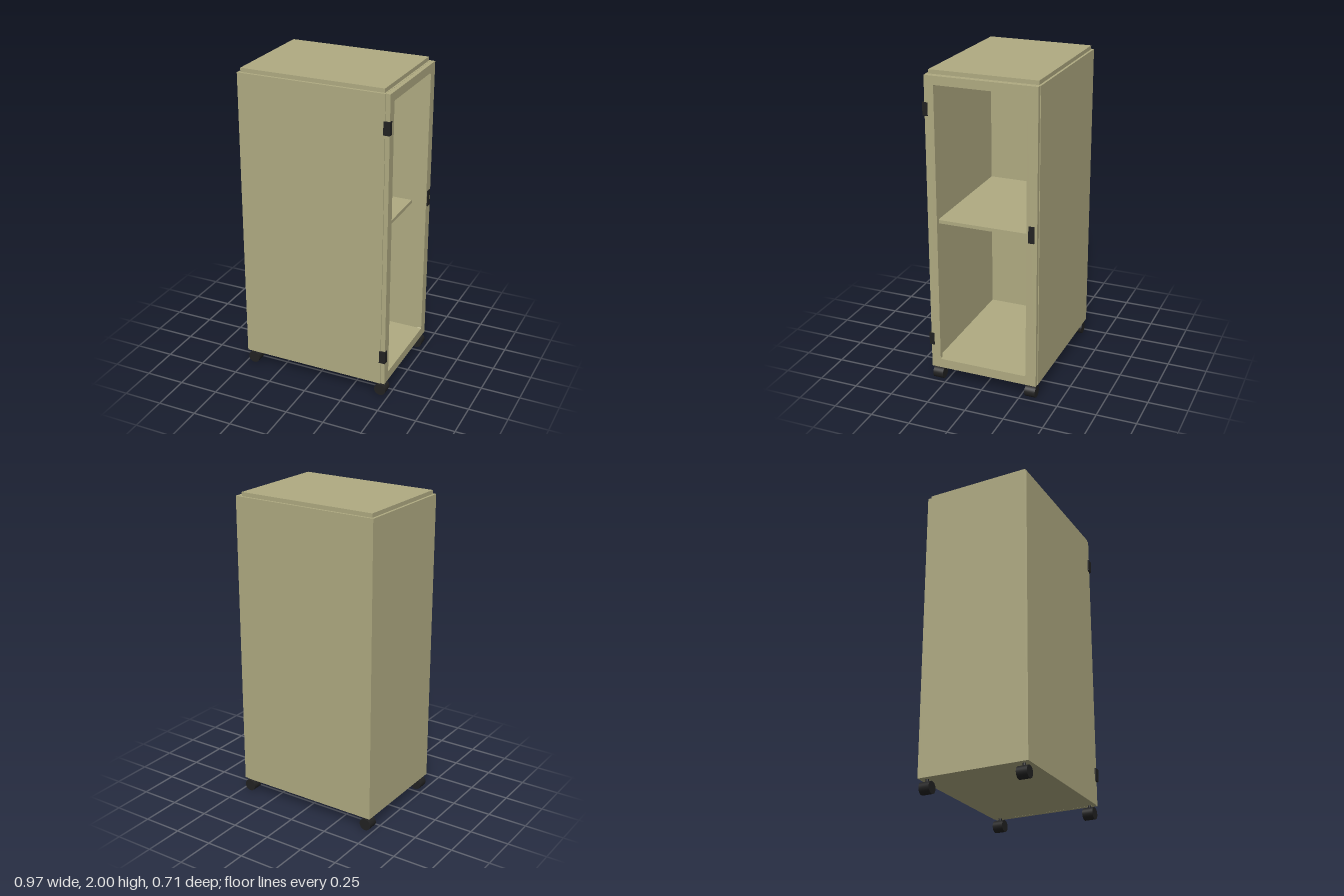
import * as THREE from 'three';

const beige = new THREE.MeshStandardMaterial({ color: 0xb0ab82 });
const black = new THREE.MeshStandardMaterial({ color: 0x222222 });

// Box given by its extents along each axis
function box(name, material, [x0, x1], [y0, y1], [z0, z1]) {
  const mesh = new THREE.Mesh(new THREE.BoxGeometry(x1 - x0, y1 - y0, z1 - z0), material);
  mesh.position.set((x0 + x1) / 2, (y0 + y1) / 2, (z0 + z1) / 2);
  mesh.name = name;
  return mesh;
}

// Rectangle with small rounded corners
function roundedRect(target, w, h, r) {
  target.absarc(w / 2 - r, h / 2 - r, r, 0, Math.PI / 2);
  target.absarc(-w / 2 + r, h / 2 - r, r, Math.PI / 2, Math.PI);
  target.absarc(-w / 2 + r, -h / 2 + r, r, Math.PI, Math.PI * 1.5);
  target.absarc(w / 2 - r, -h / 2 + r, r, Math.PI * 1.5, Math.PI * 2);
  target.closePath();
  return target;
}

// Hollow carcass, open towards the door
function createBody() {
  const body = new THREE.Group();
  body.name = 'body';
  const t = 0.012, x = [-0.487, 0.45], y = [0.09, 1.975], z = [-0.357, 0.349];
  const floorTop = y[0] + 0.022, ceiling = y[1] - 0.018;
  const innerZ = [z[0] + t, z[1] - t];
  body.add(
    box('frontPanel', beige, x, y, [innerZ[1], z[1]]),
    box('backPanel', beige, x, y, [z[0], innerZ[0]]),
    box('endPanel', beige, [x[0], x[0] + t], y, innerZ),
    box('floor', beige, [x[0] + t, x[1]], [y[0], floorTop], innerZ),
    box('ceiling', beige, [x[0] + t, x[1]], [ceiling, y[1]], innerZ),
    box('shelf', beige, [x[0] + t, 0.36], [1.02, 1.042], innerZ),
    box('topPlate', beige, [-0.472, 0.44], [y[1], 2], [-0.343, 0.333])
  );
  return body;
}

// Door frame with a large opening
function createDoor() {
  const door = new THREE.Group();
  door.name = 'door';
  const w = 0.698, h = 1.885, depth = 0.027;
  const shape = new THREE.Shape([
    new THREE.Vector2(-w / 2, -h / 2), new THREE.Vector2(w / 2, -h / 2),
    new THREE.Vector2(w / 2, h / 2), new THREE.Vector2(-w / 2, h / 2)
  ]);
  const hole = roundedRect(new THREE.Path(), 0.572, 1.772, 0.008);
  // Shift the opening to its place in the frame
  const holePoints = hole.getPoints(4).map(p => new THREE.Vector2(p.x - 0.004, p.y + 0.003));
  shape.holes.push(new THREE.Path(holePoints));
  const geometry = new THREE.ExtrudeGeometry(shape, { depth, bevelEnabled: false });
  const frame = new THREE.Mesh(geometry, beige);
  frame.name = 'doorFrame';
  frame.rotation.y = Math.PI / 2;
  frame.position.set(0.451, 0.09 + h / 2, -0.004);
  door.add(frame, box('handle', black, [0.475, 0.483], [1.04, 1.145], [-0.336, -0.3]));
  return door;
}

// L-shaped hinge wrapped around the door corner
function createHinge(y) {
  const hinge = new THREE.Group();
  hinge.name = 'hinge';
  const ys = [y - 0.04, y + 0.04];
  hinge.add(
    box('frontLeaf', black, [0.443, 0.483], ys, [0.343, 0.357]),
    box('sideLeaf', black, [0.475, 0.483], ys, [0.325, 0.343])
  );
  return hinge;
}

// Caster: broad wheel on a short stem
function createCaster(x, z) {
  const caster = new THREE.Group();
  caster.name = 'caster';
  const wheel = new THREE.Mesh(new THREE.CylinderGeometry(0.038, 0.038, 0.068, 32), black);
  wheel.name = 'wheel';
  wheel.rotation.x = Math.PI / 2;
  wheel.position.y = 0.038;
  const stem = new THREE.Mesh(new THREE.CylinderGeometry(0.01, 0.01, 0.03, 16), black);
  stem.name = 'stem';
  stem.position.y = 0.077;
  caster.add(wheel, stem);
  caster.position.set(x, 0, z);
  return caster;
}

export function createModel() {
  const model = new THREE.Group();
  model.name = 'rollingCabinet';
  model.add(createBody(), createDoor());
  for (const y of [0.285, 1.775]) model.add(createHinge(y));
  for (const x of [-0.449, 0.445]) {
    for (const z of [-0.314, 0.306]) model.add(createCaster(x, z));
  }
  return model;
}
